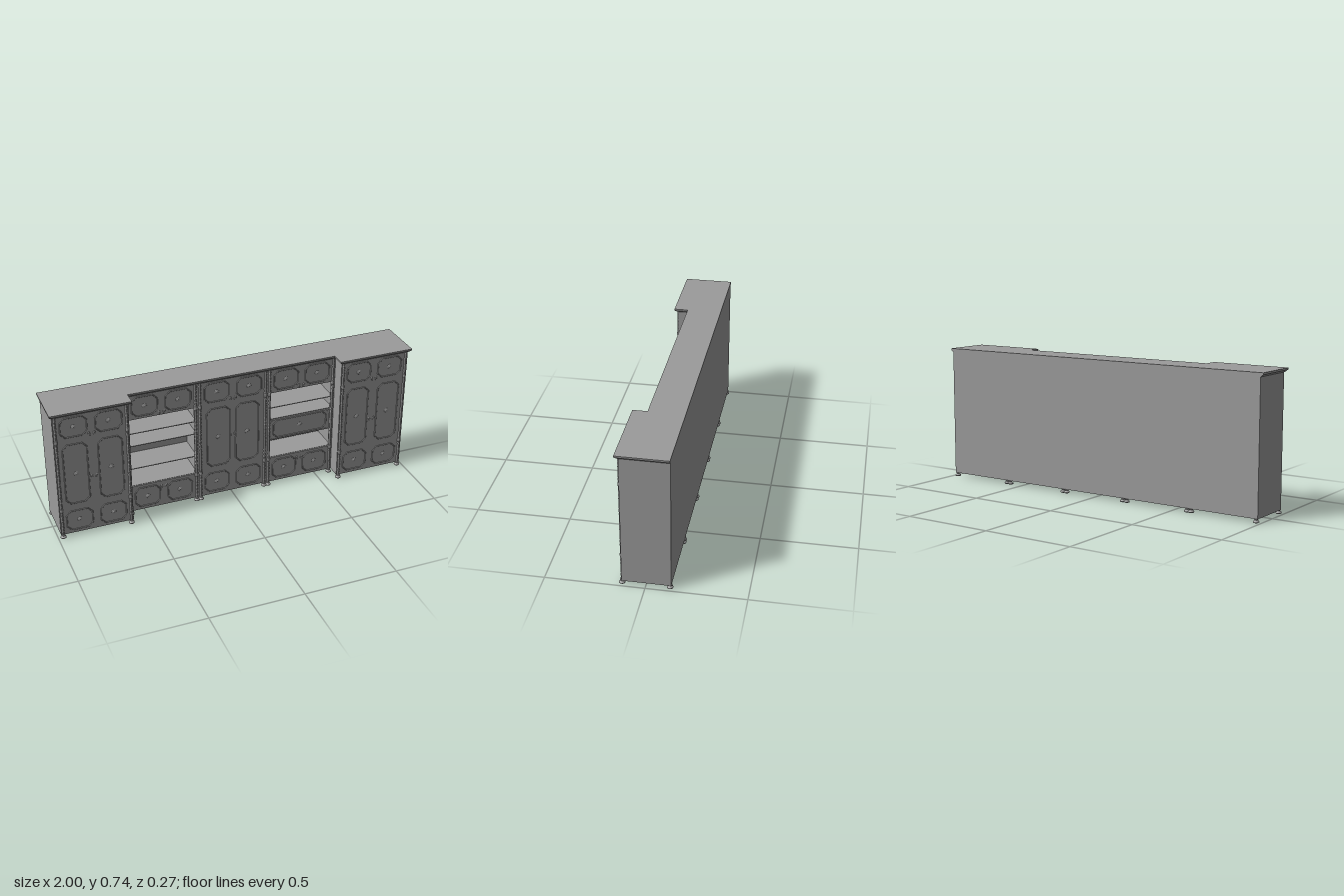
import * as THREE from 'three';

const mat = new THREE.MeshStandardMaterial({ color: 0x9b9b9b });
const flat = new THREE.MeshStandardMaterial({ color: 0x9b9b9b, flatShading: true });

const PITCH = 0.394;                // width of one cabinet bay
const HALF = PITCH / 2;
const BACK = -0.126, BASE = 0.02, TOP = 0.719;
const WING = 0.118, MIDDLE = 0.043; // front faces of outer and middle bays
const LOW = 0.172, HIGH = 0.577;    // divisions between the three rows
const T = 0.006;                    // board thickness

function add(parent, name, geo, x = 0, y = 0, z = 0, material = mat) {
  const m = new THREE.Mesh(geo, material);
  m.name = name;
  m.position.set(x, y, z);
  parent.add(m);
  return m;
}

// Box given by its limits
function board(parent, name, x0, x1, y0, y1, z0, z1) {
  return add(parent, name, new THREE.BoxGeometry(Math.abs(x1 - x0), y1 - y0, z1 - z0),
    (x0 + x1) / 2, (y0 + y1) / 2, (z0 + z1) / 2);
}

const points = list => list.map(p => new THREE.Vector2(...p));

// Rectangle with cut corners
function cutCorners(w, h, c) {
  const a = w / 2, b = h / 2;
  return points([[-a + c, -b], [a - c, -b], [a, -b + c], [a, b - c],
    [a - c, b], [-a + c, b], [-a, b - c], [-a, -b + c]]);
}

const footGeo = new THREE.LatheGeometry(points([[0, 0], [0.012, 0], [0.0155, 0.003], [0.0155, 0.007],
  [0.012, 0.011], [0.008, 0.013], [0.008, 0.016], [0.011, 0.0175], [0.011, 0.021], [0, 0.021]]), 16);

const knobGeo = new THREE.LatheGeometry(points([[0.0065, 0], [0.006, 0.0015], [0.0025, 0.002],
  [0.0025, 0.004], [0.004, 0.0055], [0.003, 0.0075], [0, 0.008]]), 12).rotateX(Math.PI / 2);

const rosetteGeo = new THREE.LatheGeometry(points([[0.013, 0], [0.012, 0.0015], [0.008, 0.0022],
  [0.004, 0.0025], [0.0038, 0.0045], [0, 0.0055]]), 16).rotateX(Math.PI / 2);

const beadGeo = new THREE.SphereGeometry(0.004, 8, 6);

// Two-lobed rope-twist shaft
function ropeGeometry(h) {
  const g = new THREE.CylinderGeometry(1, 1, h, 10, 200, true);
  const p = g.attributes.position;
  for (let i = 0; i < p.count; i++) {
    const a = Math.atan2(p.getZ(i), p.getX(i));
    const r = 0.0068 + 0.001 * Math.cos(2 * a - p.getY(i) * 2 * Math.PI / 0.022);
    p.setXYZ(i, r * Math.cos(a), p.getY(i), r * Math.sin(a));
  }
  g.computeVertexNormals();
  return g;
}
const ropeGeo = ropeGeometry(TOP - BASE);
const collarGeo = new THREE.LatheGeometry(points([[0, -0.011], [0.008, -0.011], [0.0085, -0.004],
  [0.0095, 0.002], [0.0095, 0.008], [0.0075, 0.011], [0, 0.011]]), 14);

// Raised moulding frame, inner field and rosette
function panel(parent, x, y, z, w, h) {
  const g = new THREE.Group();
  g.name = 'mouldedPanel';
  g.position.set(x, y, z);
  const c = 0.026;
  const frame = new THREE.Shape(cutCorners(w, h, c));
  frame.holes.push(new THREE.Path(cutCorners(w - 0.012, h - 0.012, c - 0.0035).reverse()));
  add(g, 'moulding', new THREE.ExtrudeGeometry(frame, { depth: 0.002, bevelEnabled: true,
    bevelThickness: 0.0015, bevelSize: 0.0015, bevelOffset: -0.0015, bevelSegments: 1 }), 0, 0, 0, flat);
  add(g, 'rosette', rosetteGeo);
  parent.add(g);
}

// Pair of drop pulls either side of a door joint
function pulls(parent, y, z) {
  for (const s of [-1, 1]) {
    const g = new THREE.Group();
    g.name = 'pull';
    g.position.set(s * 0.014, y, z);
    add(g, 'pullPlate', beadGeo).scale.set(1.6, 2.2, 0.5);
    add(g, 'pullKnob', knobGeo, 0, 0.002, 0).scale.set(0.8, 0.8, 0.9);
    add(g, 'pullDrop', beadGeo, -s * 0.005, -0.007, 0.002).scale.set(0.8, 1.3, 0.6);
    parent.add(g);
  }
}

// A flush front with two moulded panels
function frontRow(parent, front, y0, y1, panelW, panelH, offset) {
  board(parent, 'frontBoard', -HALF, HALF, y0, y1, front - T, front);
  for (const s of [-1, 1]) panel(parent, s * offset, (y0 + y1) / 2, front, panelW, panelH);
}

// Rows, rope columns and feet shared by every bay
function bay(index, front, name) {
  const g = new THREE.Group();
  g.name = name;
  g.position.x = index * PITCH;
  for (const s of [-1, 1]) {
    const cx = s * (HALF - 0.012);
    add(g, 'ropeColumn', ropeGeo, cx, (BASE + TOP) / 2, front - 0.001);
    for (const y of [LOW - 0.005, HIGH - 0.003]) add(g, 'columnCollar', collarGeo, cx, y, front - 0.001);
    for (const z of [front - 0.001, BACK + 0.007]) add(g, 'foot', footGeo, cx, 0, z);
  }
  frontRow(g, front, HIGH, TOP, 0.144, 0.116, 0.091);
  frontRow(g, front, BASE, LOW, 0.144, 0.12, 0.091);
  pulls(g, HIGH + 0.018, front);
  return g;
}

// Bay closed by two tall doors
function doorBay(index, front, panelH, panelW, offset, pullY) {
  const g = bay(index, front, 'doorBay');
  frontRow(g, front, LOW, HIGH, panelW, panelH, offset);
  pulls(g, pullY, front);
  return g;
}

// Outer bay that steps forward, with its outside wall and short return
function wingBay(side) {
  const g = doorBay(side * 2, WING, 0.355, 0.132, 0.092, 0.345);
  board(g, 'sidePanel', side * (HALF - T), side * HALF, BASE, TOP, BACK, WING - T);
  board(g, 'wingReturn', -side * HALF, -side * (HALF - T), BASE, TOP, MIDDLE - T, WING - T);
  return g;
}

// Open bay with shelves and, if given, a drawer
function shelfBay(index, shelves, drawer) {
  const g = bay(index, MIDDLE, 'shelfBay');
  const w = HALF - T;
  for (const s of [-1, 1]) {
    board(g, 'partition', s * w, s * HALF, LOW, HIGH, BACK, MIDDLE - T);
    board(g, 'stile', s * (HALF - 0.02), s * HALF, LOW, HIGH, MIDDLE - T, MIDDLE);
  }
  for (const y of [LOW, ...shelves, HIGH])
    board(g, 'shelf', -w, w, y - 0.002, y + 0.002, BACK, MIDDLE - T);
  pulls(g, LOW - 0.031, MIDDLE);
  if (drawer) {
    const [y0, y1] = drawer, z = MIDDLE - T;
    board(g, 'drawer', -w + 0.002, w - 0.002, y0, y1, BACK + T, z);
    panel(g, 0, (y0 + y1) / 2, z, 0.32, y1 - y0 - 0.006);
    for (const s of [-1, 1]) add(g, 'drawerBead', beadGeo, s * 0.165, y1 - 0.006, z);
  }
  return g;
}

// Footprint slab stepped forward at the wings; the lower rim is drawn in by `taper`
function corniceLayer(overhang, y0, y1, taper) {
  const xo = 2.5 * PITCH + overhang, xi = 1.5 * PITCH - overhang;
  const zw = WING + overhang + 0.003, zm = MIDDLE + overhang + 0.003;
  const s = new THREE.Shape(points([[-xo, -BACK], [-xo, -zw], [-xi, -zw], [-xi, -zm],
    [xi, -zm], [xi, -zw], [xo, -zw], [xo, -BACK]]));
  const g = new THREE.ExtrudeGeometry(s, { depth: y1 - y0, bevelEnabled: false });
  g.rotateX(-Math.PI / 2).translate(0, y0, 0);
  const p = g.attributes.position;
  for (let i = 0; i < p.count; i++) {
    if (p.getY(i) > y0 + 1e-5) continue;
    const x = p.getX(i), ax = Math.abs(x);
    p.setX(i, Math.sign(x) * (ax > 0.8 ? ax - taper : ax + taper));
    if (p.getZ(i) > 0) p.setZ(i, p.getZ(i) - taper);
  }
  g.computeVertexNormals();
  return g;
}

export function createModel() {
  const model = new THREE.Group();
  model.name = 'wallCabinet';

  model.add(wingBay(-1), wingBay(1));
  model.add(shelfBay(-1, [0.49, 0.415, 0.277]));
  model.add(doorBay(0, MIDDLE, 0.358, 0.136, 0.082, 0.38));
  model.add(shelfBay(1, [0.482, 0.412, 0.283], [0.287, 0.405]));

  board(model, 'backPanel', -2.5 * PITCH, 2.5 * PITCH, BASE, TOP, BACK, BACK + 0.004);

  add(model, 'corniceMoulding', corniceLayer(0.0135, 0.718, 0.729, 0.012), 0, 0, 0, flat);
  add(model, 'corniceTop', corniceLayer(0.015, 0.729, 0.739, 0.001), 0, 0, 0, flat);
  return model;
}
